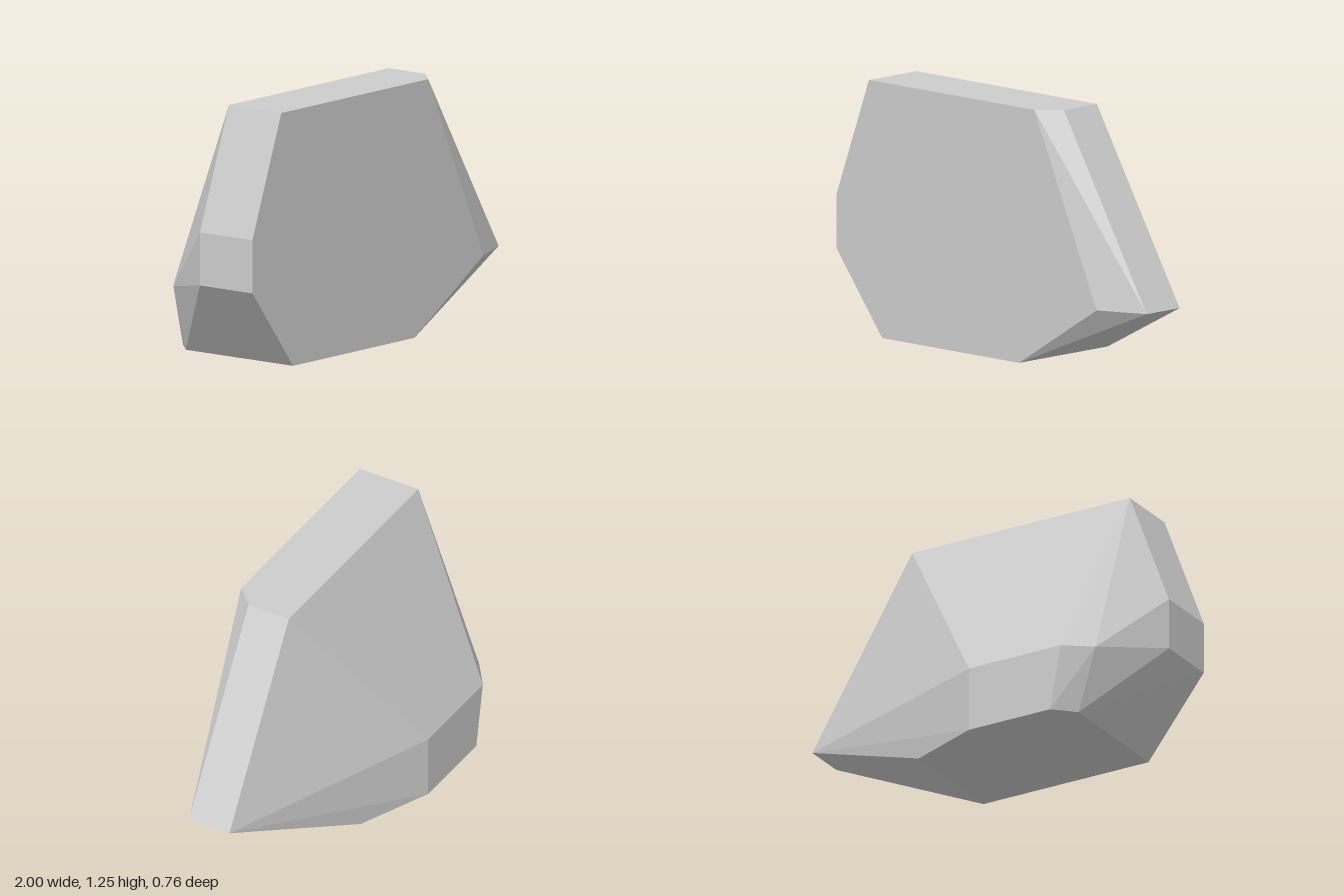
import * as THREE from 'three';
import { ConvexGeometry } from 'three/addons/geometries/ConvexGeometry.js';

export function createModel() {
  const group = new THREE.Group();
  group.name = 'rock';
  const stone = new THREE.MeshStandardMaterial({ color: 0xcccccc });
  stone.name = 'lightGreyStone';

  // corners of each cross-section: [x, y] pairs at one depth z
  const sections = [
    // flat front face
    { z: 0.38, corners: [[-0.78, 1.25], [0.34, 1.25], [0.76, 0.325], [0.235, 0], [-0.69, 0], [-1, 0.4], [-1, 0.66]] },
    // chamfered right edge
    { z: 0.28, corners: [[0.44, 1.25], [1, 0.325]] },
    // widest section, where the back begins to slope
    { z: 0.055, corners: [[-0.78, 1.25], [0.44, 1.25], [1, 0.325], [-1, 0.4], [-1, 0.66]] },
    // lower back corners
    { z: -0.225, corners: [[0.235, 0]] },
    { z: -0.28, corners: [[-0.79, 0.325], [-0.695, 0]] },
    { z: -0.38, corners: [[-0.14, 0.325], [-0.14, 0], [-0.655, 0.325], [-0.594, 0]] },
  ];
  const points = sections.flatMap(({ z, corners }) => corners.map(([x, y]) => new THREE.Vector3(x, y, z)));

  // faceted stone body
  const body = new THREE.Mesh(new ConvexGeometry(points), stone);
  body.name = 'rockBody';
  group.add(body);
  return group;
}
